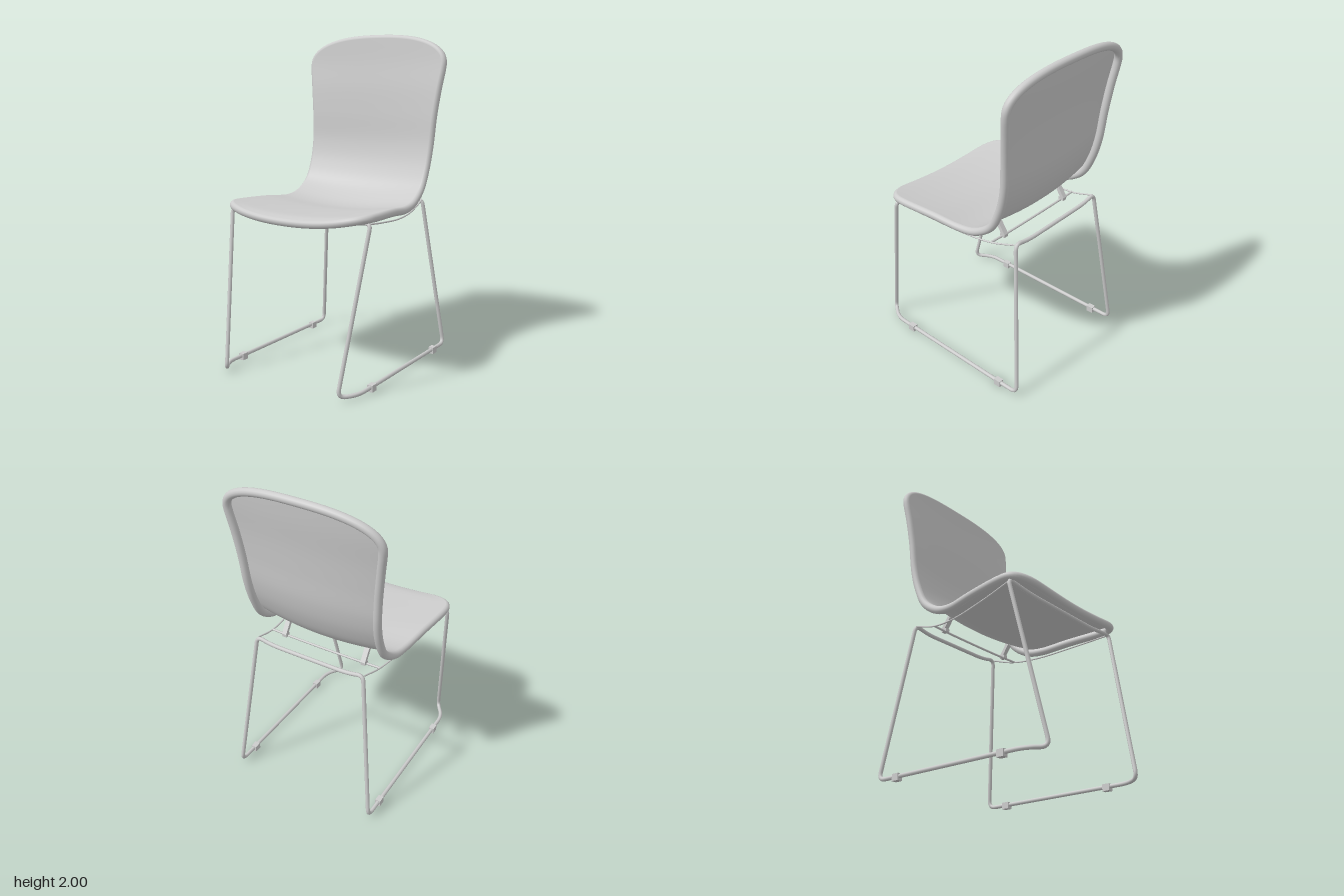
import * as THREE from 'three';
import { ParametricGeometry } from 'three/addons/geometries/ParametricGeometry.js';

const V = (x, y, z) => new THREE.Vector3(x, y, z);
const RIM = 0.024;

// Spine of the shell from front edge to top: x holds the half width there.
const spine = new THREE.CatmullRomCurve3([
  V(0.475, 0.958, 0.482), V(0.476, 0.967, 0.45), V(0.473, 0.968, 0.3), V(0.45, 0.962, 0.1),
  V(0.425, 0.95, -0.1), V(0.419, 0.972, -0.21), V(0.415, 1.052, -0.325), V(0.416, 1.172, -0.388),
  V(0.421, 1.315, -0.425), V(0.433, 1.5, -0.441), V(0.452, 1.66, -0.456), V(0.475, 1.83, -0.478),
  V(0.478, 1.977, -0.492),
]);
spine.arcLengthDivisions = 400;

// Rounded-corner falloff: 0 at the centre line, 1 at the side.
const corner = (u, n) => 1 - Math.pow(Math.max(0, 1 - Math.pow(Math.abs(u), n)), 1 / n);

// Point on the shell; q runs across (-1..1), v runs front to top, inset goes behind the surface.
function shellPoint(q, v, inset = 0) {
  const u = Math.sin(q * Math.PI / 2);
  const s0 = 0.005 * u * u + 0.09 * corner(u, 3.4);
  const s1 = 1 - 0.017 * u * u - 0.095 * corner(u, 3);
  const s = THREE.MathUtils.clamp(THREE.MathUtils.lerp(s0, s1, v), 0, 1);
  const p = spine.getPointAt(s), t = spine.getTangentAt(s);
  const n = V(0, -t.z, t.y).normalize();
  const raise = THREE.MathUtils.lerp(0.045, 0.025, s) * u * u;
  return V(u * p.x, p.y, p.z).addScaledVector(n, raise - inset);
}

// Polyline with rounded corners.
function roundedPath(points, radii, closed) {
  const path = new THREE.CurvePath(), n = points.length;
  const ends = points.map((p, i) => {
    if (!closed && (i === 0 || i === n - 1)) return [p, p];
    return [points[(i + n - 1) % n], points[(i + 1) % n]].map((o) => {
      const d = o.clone().sub(p), len = d.length();
      return p.clone().addScaledVector(d, Math.min(radii[i], len * 0.45) / len);
    });
  });
  for (let i = 0; i < n; i++) {
    if (closed || (i > 0 && i < n - 1)) {
      path.add(new THREE.QuadraticBezierCurve3(ends[i][0], points[i], ends[i][1]));
    }
    if (closed || i < n - 1) path.add(new THREE.LineCurve3(ends[i][1], ends[(i + 1) % n][0]));
  }
  return path;
}

export function createModel() {
  const group = new THREE.Group();
  const grey = new THREE.MeshStandardMaterial({ color: 0xcccccc });
  const thin = new THREE.MeshStandardMaterial({ color: 0xcccccc, side: THREE.DoubleSide });
  const add = (name, geometry, material = grey) => {
    const mesh = new THREE.Mesh(geometry, material);
    mesh.name = name;
    group.add(mesh);
    return mesh;
  };

  // One-piece seat and backrest
  const shell = new ParametricGeometry((a, b, out) => out.copy(shellPoint(a * 2 - 1, b)), 48, 64);
  shell.computeVertexNormals();
  add('seatShell', shell, thin);

  // Rolled rim following the shell outline
  const outline = [];
  const N = 30;
  for (let i = 0; i < N; i++) outline.push(shellPoint(-1 + 2 * i / N, 0, RIM));
  for (let i = 0; i < N; i++) outline.push(shellPoint(1, i / N, RIM));
  for (let i = 0; i < N; i++) outline.push(shellPoint(1 - 2 * i / N, 1, RIM));
  for (let i = 0; i < N; i++) outline.push(shellPoint(-1, 1 - i / N, RIM));
  const rimCurve = new THREE.CatmullRomCurve3(outline, true);
  add('shellRim', new THREE.TubeGeometry(rimCurve, 320, RIM, 14, true));

  // Sled base: one continuous bent rod
  const half = [
    [V(0.3, 0.945, 0.385), 0.1],
    [V(0.482, 0.967, 0.383), 0.04],
    [V(0.392, 0.025, 0.572), 0.05],
    [V(0.465, 0.025, 0.47), 0.06],
    [V(0.467, 0.025, -0.565), 0.05],
    [V(0.357, 0.978, -0.45), 0.04],
    [V(0.25, 0.955, -0.45), 0.08],
  ];
  const mirrored = half.map(([p, r]) => [V(-p.x, p.y, p.z), r]).reverse();
  const loop = [...half, ...mirrored];
  const rod = roundedPath(loop.map((e) => e[0]), loop.map((e) => e[1]), true);
  add('sledFrame', new THREE.TubeGeometry(rod, 700, 0.012, 10, true));

  for (const side of [1, -1]) {
    // Thin sagging support wire below the seat
    const wire = new THREE.CatmullRomCurve3([
      V(side * 0.47, 0.958, 0.38), V(side * 0.43, 0.93, 0.16), V(side * 0.39, 0.908, -0.1),
      V(side * 0.37, 0.92, -0.28), V(side * 0.357, 0.97, -0.445),
    ]);
    add('supportWire', new THREE.TubeGeometry(wire, 40, 0.005, 8));

    // Bracket joining the shell to the cross wire
    const bracket = add('shellBracket', new THREE.BoxGeometry(0.03, 0.09, 0.022));
    bracket.position.set(side * 0.27, 0.967, -0.27);
    bracket.rotation.x = 0.6;
    const clip = add('bracketClip', new THREE.BoxGeometry(0.03, 0.02, 0.035));
    clip.position.set(side * 0.27, 0.926, -0.285);

    // Floor glides
    for (const z of [0.33, -0.42]) {
      const glide = add('floorGlide', new THREE.BoxGeometry(0.034, 0.04, 0.046));
      glide.position.set(side * 0.465, 0.02, z);
    }
  }

  // Cross wire below the seat
  const cross = new THREE.CatmullRomCurve3([
    V(-0.37, 0.922, -0.28), V(-0.2, 0.917, -0.28), V(0.2, 0.917, -0.28), V(0.37, 0.922, -0.28),
  ]);
  add('crossWire', new THREE.TubeGeometry(cross, 24, 0.007, 8));

  return group;
}
